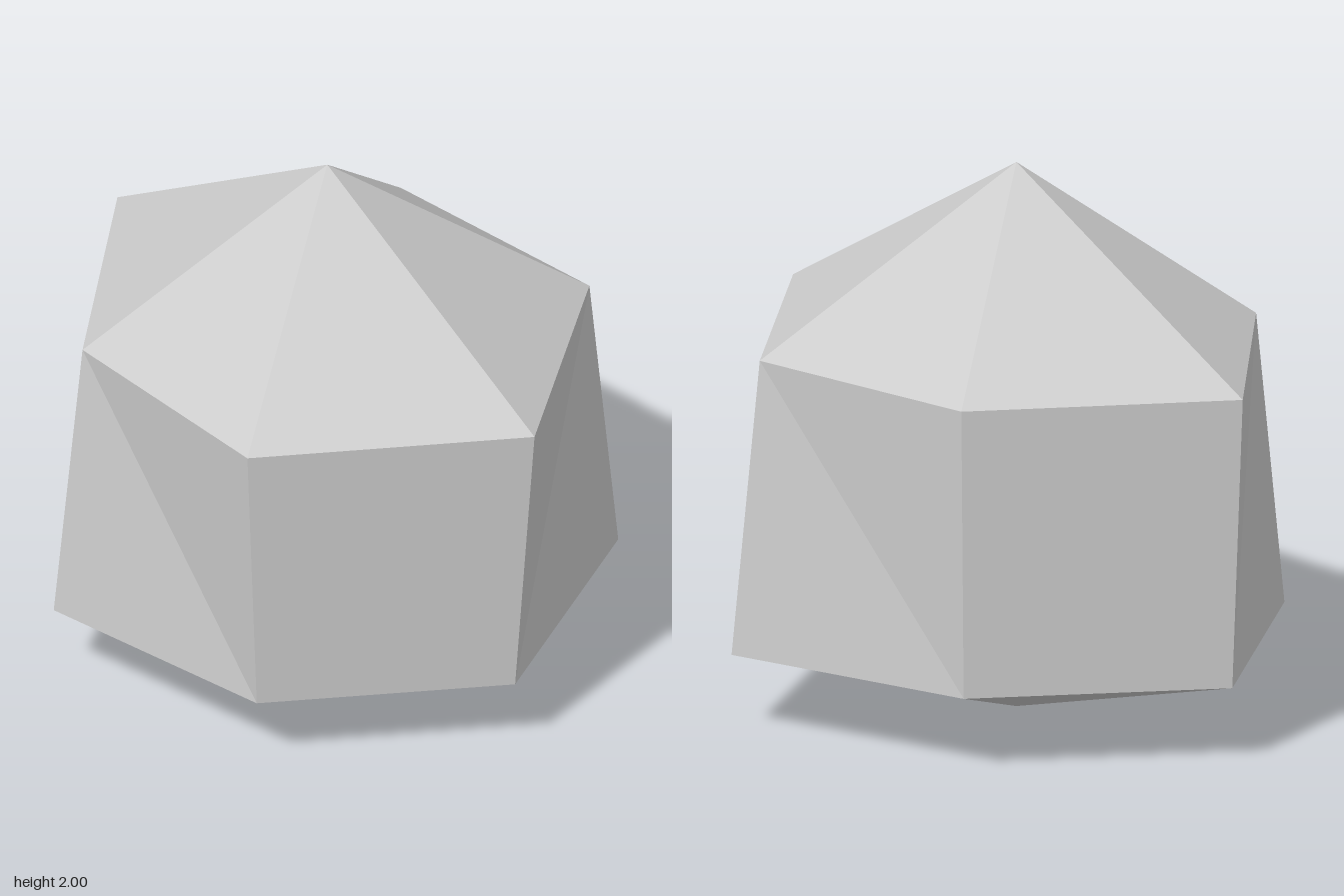
import * as THREE from 'three';

// Six-sided faceted stone: top peak, two irregular rings, bottom point
export function createModel() {
  const group = new THREE.Group();
  group.name = 'facetedStone';
  const stoneGrey = new THREE.MeshStandardMaterial({ color: 0xcccccc });
  stoneGrey.name = 'stoneGrey';
  stoneGrey.flatShading = true;

  const ring = (y, pts) => pts.map(([x, z]) => [x, y, z]);
  const peak = [-0.03, 2, -0.03];
  const base = [-0.03, 0, -0.03];
  const upper = ring(1.36, [[-0.88, 0.2], [-0.28, 0.887], [0.72, 0.715], [0.88, -0.275], [0.2, -0.89], [-0.79, -0.797]]);
  const lower = ring(0.29, [[-0.98, 0.22], [-0.25, 0.803], [0.65, 0.65], [0.98, -0.305], [0.19, -0.845], [-0.755, -0.763]]);

  const build = (name, triangles) => {
    const geometry = new THREE.BufferGeometry();
    geometry.setAttribute('position', new THREE.Float32BufferAttribute(triangles.flat(2), 3));
    geometry.computeVertexNormals();
    const mesh = new THREE.Mesh(geometry, stoneGrey);
    mesh.name = name;
    group.add(mesh);
  };

  const crown = [], sides = [], underside = [];
  for (let i = 0; i < 6; i++) {
    const j = (i + 1) % 6;
    const [a, b, c, d] = [upper[i], upper[j], lower[i], lower[j]];
    crown.push([peak, a, b]);
    underside.push([base, d, c]);
    // The fold direction alternates where a wide and a narrow corner meet
    if (i === 2 || i === 5) sides.push([a, c, b], [b, c, d]);
    else sides.push([a, c, d], [a, d, b]);
  }
  build('crown', crown);
  build('sides', sides);
  build('underside', underside);
  return group;
}
